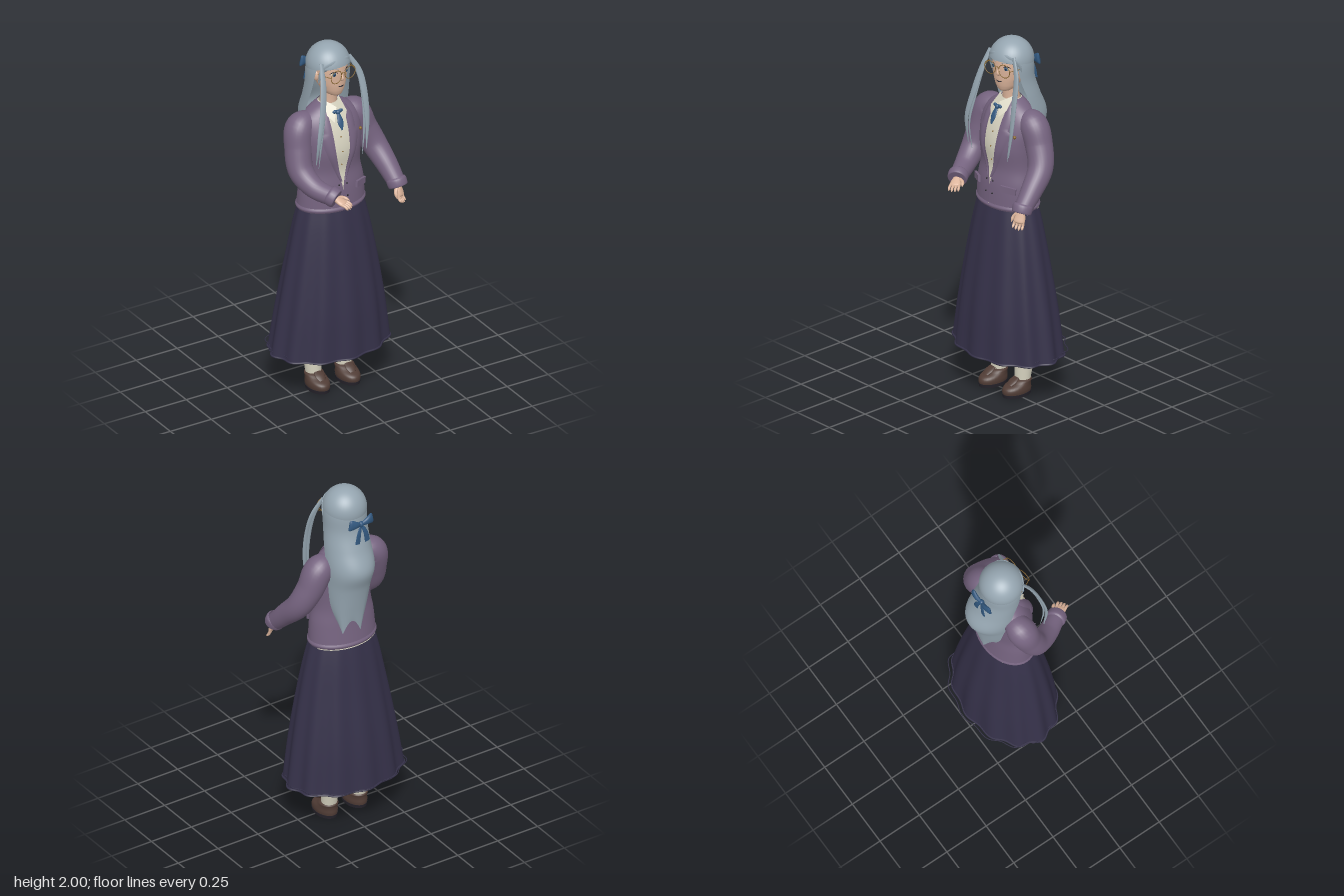
import * as THREE from 'three';
import { mergeVertices } from 'three/addons/utils/BufferGeometryUtils.js';

const paint = (name, color, side = THREE.FrontSide) => {
  const m = new THREE.MeshStandardMaterial({ color, side });
  m.name = name;
  return m;
};
const V = (p) => new THREE.Vector3(...p);

// Smooth surface over a grid; f(u, v) gives a point
function grid(nu, nv, f) {
  const pos = [], idx = [];
  for (let j = 0; j <= nv; j++) for (let i = 0; i <= nu; i++) pos.push(...f(i / nu, j / nv));
  for (let j = 0; j < nv; j++) for (let i = 0; i < nu; i++) {
    const a = j * (nu + 1) + i, b = a + nu + 1;
    idx.push(a, a + 1, b, a + 1, b + 1, b);
  }
  let g = new THREE.BufferGeometry();
  g.setAttribute('position', new THREE.Float32BufferAttribute(pos, 3));
  g.setIndex(idx);
  g = mergeVertices(g, 1e-6);
  g.computeVertexNormals();
  return g;
}

// Rows [y, cx, rx, cz, rz, gap] from bottom to top, interpolated by height
function profile(rows) {
  const w = rows[0].length - 1;
  const it = new THREE.CubicInterpolant(rows.map((r) => r[0]), rows.flatMap((r) => r.slice(1)), w);
  return (y) => Array.from(it.evaluate(y));
}
function loft(rows, nu, nv, bend = (p) => p, grow = 0) {
  const at = profile(rows), y0 = rows[0][0], y1 = rows.at(-1)[0];
  return grid(nu, nv, (u, v) => {
    const y = y0 + (y1 - y0) * v, [cx, rx, cz, rz, gap = 0] = at(y);
    const a = gap + u * (2 * Math.PI - 2 * gap);
    return bend([cx + (rx + grow) * Math.sin(a), y, cz + (rz + grow) * Math.cos(a)], a, v, cx, cz);
  });
}
// Tapered sweep along a curve; each radius is [across, thick]
function sweep(points, radii, ref = [0, 0, 1], nu = 12, nv = 24) {
  const c = new THREE.CatmullRomCurve3(points.map(V)), R = V(ref);
  const it = new THREE.CubicInterpolant(radii.map((_, i) => i / (radii.length - 1)),
    radii.flatMap((r) => (Array.isArray(r) ? r : [r, r])), 2);
  return grid(nu, nv, (u, v) => {
    const t = c.getTangent(v), s = R.clone().cross(t).normalize(), n = t.clone().cross(s);
    const [w, h] = it.evaluate(v), a = u * 2 * Math.PI;
    return c.getPoint(v).addScaledVector(s, w * Math.cos(a)).addScaledVector(n, h * Math.sin(a)).toArray();
  });
}

export function createModel() {
  const D = THREE.DoubleSide;
  const hair = paint('silver hair', 0x95a5b0, D), skin = paint('skin', 0xdcb49b);
  const purple = paint('jacket purple', 0x75637f, D), navy = paint('skirt navy', 0x353149, D);
  const cream = paint('cream', 0xd6d2bf, D), brown = paint('shoe brown', 0x503c35);
  const blue = paint('ribbon blue', 0x32587f, D), gold = paint('glasses gold', 0x86652f);
  const dark = paint('dark', 0x25222a, D);

  const model = new THREE.Group();
  const add = (name, geo, mat, parent = model, pos = [0, 0, 0]) => {
    const m = new THREE.Mesh(geo, mat);
    m.name = name;
    m.position.set(...pos);
    parent.add(m);
    return m;
  };
  const blob = (name, mat, parent, pos, scale) => {
    const m = add(name, new THREE.SphereGeometry(1, 20, 14), mat, parent, pos);
    m.scale.set(...scale);
    return m;
  };

  // Pleated skirt, closed underneath, with a loose trim around the hem
  const pleat = (p, a, v, cx, cz) => {
    const k = 1 + 0.032 * (1 - 0.7 * v) * Math.cos(12 * a);
    return [cx + (p[0] - cx) * k, p[1], cz + (p[2] - cz) * k];
  };
  const hemPoint = (a, k, y, dz = 0) =>
    pleat([-0.01 + 0.335 * k * Math.sin(a), y, -0.038 + dz + 0.237 * k * Math.cos(a)], a, 0, -0.01, -0.038 + dz);
  add('skirt', loft([[0.246, -0.01, 0.335, -0.038, 0.237], [0.5, -0.006, 0.299, -0.034, 0.218],
    [0.8, -0.004, 0.248, -0.03, 0.178], [1.0, -0.004, 0.207, -0.03, 0.146],
    [1.085, -0.004, 0.185, -0.03, 0.129]], 144, 24, pleat), navy);
  add('skirtUnderside', grid(144, 6, (u, v) => hemPoint(u * 2 * Math.PI, 0.985 * v, 0.25)), navy);
  const hem = (y, dz) => new THREE.CatmullRomCurve3(
    Array.from({ length: 96 }, (_, i) => V(hemPoint(i / 96 * 2 * Math.PI, 1, y, dz))), true);
  add('skirtHem', new THREE.TubeGeometry(hem(0.246, 0), 144, 0.006, 6, true), navy);
  add('hemTrim', new THREE.TubeGeometry(hem(0.267, -0.024), 144, 0.0025, 5, true), navy);

  // Legs in stockings, shoes and soles
  for (const x of [-0.098, 0.087]) {
    const s = Math.sign(x);
    add('stocking', loft([[0.05, x, 0.04, -0.047, 0.038], [0.12, x, 0.045, -0.053, 0.046],
      [0.25, x, 0.058, -0.067, 0.062], [0.5, x, 0.062, -0.06, 0.065], [1.0, s * 0.085, 0.08, -0.04, 0.08]], 24, 16), cream);
    add('shoe', loft([[0.015, x, 0.055, -0.008, 0.086], [0.032, x, 0.058, -0.008, 0.088], [0.052, x, 0.056, -0.013, 0.081],
      [0.068, x, 0.052, -0.033, 0.061], [0.082, x, 0.048, -0.047, 0.048], [0.086, x, 0.038, -0.048, 0.037]], 32, 14), brown);
    add('sole', new THREE.CylinderGeometry(1, 0.97, 0.018, 32), dark, model, [x, 0.009, -0.008]).scale.set(0.058, 1, 0.088);
    add('shoeTongue', sweep([[x, 0.062, 0.045], [x, 0.078, 0.02], [x, 0.095, -0.006]],
      [[0.018, 0.006], [0.028, 0.009], [0.022, 0.005]]), brown);
  }

  // Torso: jacket with an open front over a shirt
  const torso = [[1.08, -0.005, 0.193, -0.03, 0.135, 0.006], [1.21, -0.005, 0.183, -0.026, 0.125, 0.01],
    [1.3, -0.005, 0.166, -0.028, 0.115, 0.13], [1.42, -0.005, 0.17, -0.026, 0.122, 0.26],
    [1.52, -0.005, 0.175, -0.035, 0.11, 0.29], [1.6, -0.005, 0.155, -0.05, 0.09, 0.34],
    [1.64, -0.005, 0.105, -0.055, 0.07, 0.47], [1.665, -0.005, 0.056, -0.055, 0.055, 0.75]];
  const body = profile(torso);
  const onBody = (y, a, off) => {
    const [cx, rx, cz, rz] = body(y);
    return [cx + (rx + off) * Math.sin(a), y, cz + (rz + off) * Math.cos(a)];
  };
  const place = (name, geo, mat, y, a, off) => {
    const [, rx, , rz] = body(y);
    const m = add(name, geo, mat, model, onBody(y, a, off));
    m.rotation.y = Math.atan2(Math.sin(a) / rx, Math.cos(a) / rz);
    return m;
  };
  add('jacket', loft(torso, 64, 40), purple);
  add('shirt', loft(torso.map((r) => r.slice(0, 5)), 48, 32, undefined, -0.006), cream);
  add('shirtTail', loft([[1.07, -0.005, 0.191, -0.03, 0.135, 1.9], [1.085, -0.005, 0.191, -0.03, 0.133, 1.9]], 48, 2), cream);
  add('jacketHem', loft([[1.076, -0.005, 0.193, -0.03, 0.135, 0.008], [1.088, -0.005, 0.198, -0.03, 0.14, 0.008],
    [1.102, -0.005, 0.192, -0.03, 0.134, 0.008]], 48, 8), purple);
  for (const s of [-1, 1]) {
    add('lapel', grid(6, 30, (u, v) => {
      const y = 1.25 + 0.395 * v;
      const w = v < 0.7 ? 0.06 + 0.55 * v : 0.3 + 0.1 * (v - 0.7);
      return onBody(y, s * (body(y)[4] - 0.02 + u * w), 0.004 + 0.008 * Math.sin(Math.PI * (0.25 + 0.75 * u)));
    }), purple);
    place('pocketFlap', new THREE.BoxGeometry(0.085, 0.036, 0.012), purple, 1.2, s * 0.68, 0.006).rotation.z = -s * 0.12;
    for (const y of [1.16, 1.23]) place('jacketButton', new THREE.SphereGeometry(0.005, 10, 8), dark, y, s * 0.13, 0.002);
    // Shirt collar wing
    const wing = new THREE.BufferGeometry().setFromPoints([[0, 1.655, 0.03], [0.048, 1.688, -0.03], [0.06, 1.622, 0.036],
      [0.032, 1.588, 0.066]].map(([x, y, z]) => V([s * x - 0.005, y, z])));
    wing.setIndex(s > 0 ? [0, 2, 1, 0, 3, 2] : [0, 1, 2, 0, 2, 3]);
    wing.computeVertexNormals();
    add('collarWing', wing, cream);
  }
  for (const y of [1.5, 1.42, 1.34]) place('shirtButton', new THREE.SphereGeometry(0.004, 10, 8), gold, y, 0, -0.004);
  place('brooch', new THREE.SphereGeometry(0.009, 10, 8), gold, 1.5, 0.85, 0.006);

  // Neck ribbon
  blob('ribbonKnot', blue, model, [-0.005, 1.632, 0.046], [0.013, 0.013, 0.012]);
  for (const s of [-1, 1]) blob('ribbonLoop', blue, model, [-0.005 + s * 0.017, 1.637, 0.043], [0.014, 0.01, 0.008]);
  add('ribbonTail', sweep([[-0.005, 1.63, 0.048], [-0.005, 1.585, 0.072], [-0.004, 1.545, 0.088]],
    [[0.008, 0.005], [0.017, 0.005], [0.004, 0.003]]), blue);

  // Sleeves, cuffs and hands
  const makeArm = (side, pts, radii, dir, across) => {
    const arm = new THREE.Group();
    arm.name = side + 'Arm';
    model.add(arm);
    add('sleeve', sweep(pts, radii, [1, 0, 0], 28, 40), purple, arm);
    const end = V(pts.at(-1)), d = V(dir).normalize();
    const ring = (k) => end.clone().addScaledVector(d, k).toArray();
    add('cuff', sweep([ring(-0.04), ring(-0.03), ring(-0.01), ring(0.008), ring(0.01), ring(0.004)],
      [0.045, 0.053, 0.054, 0.051, 0.044, 0.028], [1, 0, 0], 24, 16), purple, arm);
    const hand = new THREE.Group(), y = d.clone().negate();
    const z = V(across).cross(y).normalize(), x = y.clone().cross(z);
    hand.name = side + 'Hand';
    hand.quaternion.setFromRotationMatrix(new THREE.Matrix4().makeBasis(x, y, z));
    hand.position.copy(end);
    arm.add(hand);
    add('palm', sweep([[0, 0.02, 0], [0, -0.01, 0], [0, -0.035, 0], [0, -0.06, 0], [0, -0.068, 0]],
      [[0.022, 0.02], [0.022, 0.017], [0.029, 0.014], [0.028, 0.011], [0.003, 0.003]]), skin, hand);
    for (let i = 0; i < 4; i++) {
      const fx = -0.022 + i * 0.0148, len = 0.047 - 0.006 * Math.abs(i - 1.4);
      const tip = -0.058 - len;
      add('finger', sweep([[fx, -0.05, 0], [fx * 1.1, -0.056 - len * 0.5, 0.004], [fx * 1.15, tip, -0.004]],
        [0.0078, 0.0078, 0.0076, 0.0072, 0.0066, 0.0015], [0, 0, 1], 8, 14), skin, hand);
    }
    add('thumb', sweep([[0.015, -0.012, 0], [0.036, -0.035, 0.006], [0.041, -0.068, 0.006]],
      [0.012, 0.011, 0.009, 0.008, 0.0015], [0, 0, 1], 8, 14), skin, hand);
  };
  makeArm('right', [[-0.09, 1.57, -0.058], [-0.175, 1.55, -0.052], [-0.204, 1.44, -0.025], [-0.214, 1.33, 0.02],
    [-0.185, 1.262, 0.108], [-0.126, 1.235, 0.215]], [0.05, 0.077, 0.073, 0.067, 0.056, 0.046], [0.06, -0.045, 0.09], [0.85, 0, -0.5]);
  makeArm('left', [[0.08, 1.57, -0.06], [0.155, 1.55, -0.06], [0.21, 1.445, -0.055], [0.256, 1.345, -0.022],
    [0.283, 1.25, 0.065], [0.298, 1.165, 0.146]], [0.05, 0.077, 0.073, 0.067, 0.057, 0.046], [0.01, -0.1, 0.045], [-0.8, 0, 0.6]);

  // Neck and head, turned a little to its left
  add('neck', loft([[1.62, -0.005, 0.05, -0.055, 0.05], [1.68, -0.005, 0.044, -0.05, 0.044],
    [1.78, -0.005, 0.045, -0.045, 0.047]], 24, 8), skin);
  const head = new THREE.Group();
  head.name = 'head';
  head.position.set(-0.005, 1.85, -0.055);
  head.rotation.y = 0.17;
  model.add(head);
  add('face', loft([[-0.134, 0, 0, 0.055, 0], [-0.128, 0, 0.026, 0.052, 0.03], [-0.11, 0, 0.05, 0.04, 0.056],
    [-0.075, 0, 0.07, 0.025, 0.08], [-0.03, 0, 0.085, 0.015, 0.093], [0.02, 0, 0.091, 0.011, 0.099],
    [0.07, 0, 0.088, 0.004, 0.1], [0.1, 0, 0.07, 0, 0.09]], 40, 28), skin, head);
  add('nose', sweep([[0, 0.01, 0.105], [0, -0.018, 0.115], [0, -0.034, 0.108]], [[0.004, 0.004], [0.009, 0.009], [0.004, 0.003]]), skin, head);
  add('mouth', sweep([[-0.018, -0.064, 0.104], [0, -0.066, 0.109], [0.018, -0.064, 0.104]],
    [[0.001, 0.001], [0.003, 0.003], [0.001, 0.001]], [0, 1, 0], 8, 10), dark, head);
  for (const s of [-1, 1]) {
    const x = s * 0.042;
    blob('eyeWhite', cream, head, [x, 0.012, 0.097], [0.018, 0.011, 0.004]).rotation.y = s * 0.35;
    blob('iris', blue, head, [x, 0.012, 0.1], [0.01, 0.011, 0.004]).rotation.y = s * 0.35;
    blob('pupil', dark, head, [x, 0.012, 0.1025], [0.004, 0.005, 0.003]);
    add('lash', sweep([[s * 0.022, 0.018, 0.106], [x, 0.026, 0.1], [s * 0.064, 0.017, 0.085]],
      [0.001, 0.003, 0.001], [0, 1, 0], 6, 10), dark, head);
    add('brow', sweep([[s * 0.018, 0.04, 0.107], [x, 0.047, 0.1], [s * 0.068, 0.04, 0.082]],
      [0.001, 0.003, 0.001], [0, 1, 0], 6, 10), hair, head);
    // Round glasses
    add('glassesRim', new THREE.TorusGeometry(0.036, 0.002, 8, 36), gold, head, [s * 0.047, 0.008, 0.122]);
    add('glassesTemple', new THREE.TubeGeometry(new THREE.LineCurve3(V([s * 0.083, 0.014, 0.122]), V([s * 0.106, 0.012, 0.04])), 2, 0.002, 6), gold, head);
    blob('ear', skin, head, [s * 0.092, -0.01, 0.01], [0.012, 0.028, 0.018]);
    // Swept fringe
    add('fringe', sweep([[s * 0.002, 0.085, 0.098], [s * 0.05, 0.068, 0.091], [s * 0.088, 0.035, 0.062], [s * 0.1, -0.04, 0.04]],
      [[0.008, 0.005], [0.02, 0.006], [0.02, 0.007], [0.003, 0.003]], [0, 0, 1]), hair, head);
  }
  add('glassesBridge', new THREE.TorusGeometry(0.012, 0.002, 6, 12, Math.PI), gold, head, [0, 0.01, 0.122]);

  // Hair: crown, long back fall with ragged ends, side locks
  const crown = add('hairCrown', new THREE.SphereGeometry(0.118, 40, 20, 0, 2 * Math.PI, 0, Math.PI * 0.5), hair, head, [0, 0.032, 0]);
  crown.rotation.x = -0.17;
  add('hairBack', loft([[1.17, 0.01, 0.085, -0.115, 0.07, 1.75], [1.3, 0.008, 0.108, -0.1, 0.1, 1.65],
    [1.45, 0.005, 0.125, -0.09, 0.135, 1.6], [1.56, 0.002, 0.132, -0.1, 0.155, 1.55], [1.68, 0, 0.126, -0.08, 0.128, 1.4],
    [1.78, -0.005, 0.119, -0.06, 0.116, 1.25], [1.87, -0.005, 0.117, -0.055, 0.116, 1.12],
    [1.93, -0.005, 0.106, -0.055, 0.106, 1.0]], 64, 40,
    (p, a, v) => [p[0], p[1] + (1 - v) ** 5 * (0.08 * Math.abs(Math.sin(2.5 * a + 0.6)) + 0.25 * Math.max(0, -p[0])), p[2]]), hair);
  const lock = [[0.01, 0.006], [0.018, 0.008], [0.018, 0.007], [0.013, 0.006], [0.002, 0.002]];
  const strand = lock.map(([w, h]) => [w * 0.5, h * 0.7]);
  const right = [[-0.09, 1.93, 0.02], [-0.106, 1.82, 0.065], [-0.13, 1.69, 0.1], [-0.162, 1.54, 0.12], [-0.17, 1.39, 0.1]];
  const left = [[0.085, 1.93, 0.01], [0.132, 1.83, 0.035], [0.148, 1.7, 0.065], [0.15, 1.55, 0.085], [0.138, 1.4, 0.095]];
  for (const pts of [right, left]) {
    add('sideLock', sweep(pts, lock), hair);
    add('sideStrand', sweep(pts.map(([x, y, z], i) => [x + 0.005 * i * Math.sign(-x), y - 0.008 * i, z - 0.002 * i]), strand), hair);
  }

  // Bow at the back of the head
  const bow = new THREE.Group();
  bow.name = 'hairBow';
  bow.position.set(-0.018, 1.835, -0.19);
  bow.rotation.y = 0.06;
  model.add(bow);
  blob('bowKnot', blue, bow, [0, 0, 0], [0.017, 0.017, 0.014]);
  for (const s of [-1, 1]) {
    add('bowLoop', sweep([[0, 0, 0], [s * 0.035, 0.01, -0.006], [s * 0.066, 0.016, -0.002], [s * 0.076, 0.018, 0]],
      [[0.008, 0.007], [0.02, 0.012], [0.031, 0.01], [0.026, 0.003]]), blue, bow);
    add('bowTail', sweep([[0, 0, -0.002], [s * 0.02, -0.045, -0.012], [s * 0.032, -0.105, -0.014]],
      [[0.006, 0.003], [0.013, 0.003], [0.016, 0.003]]), blue, bow);
  }
  return model;
}
